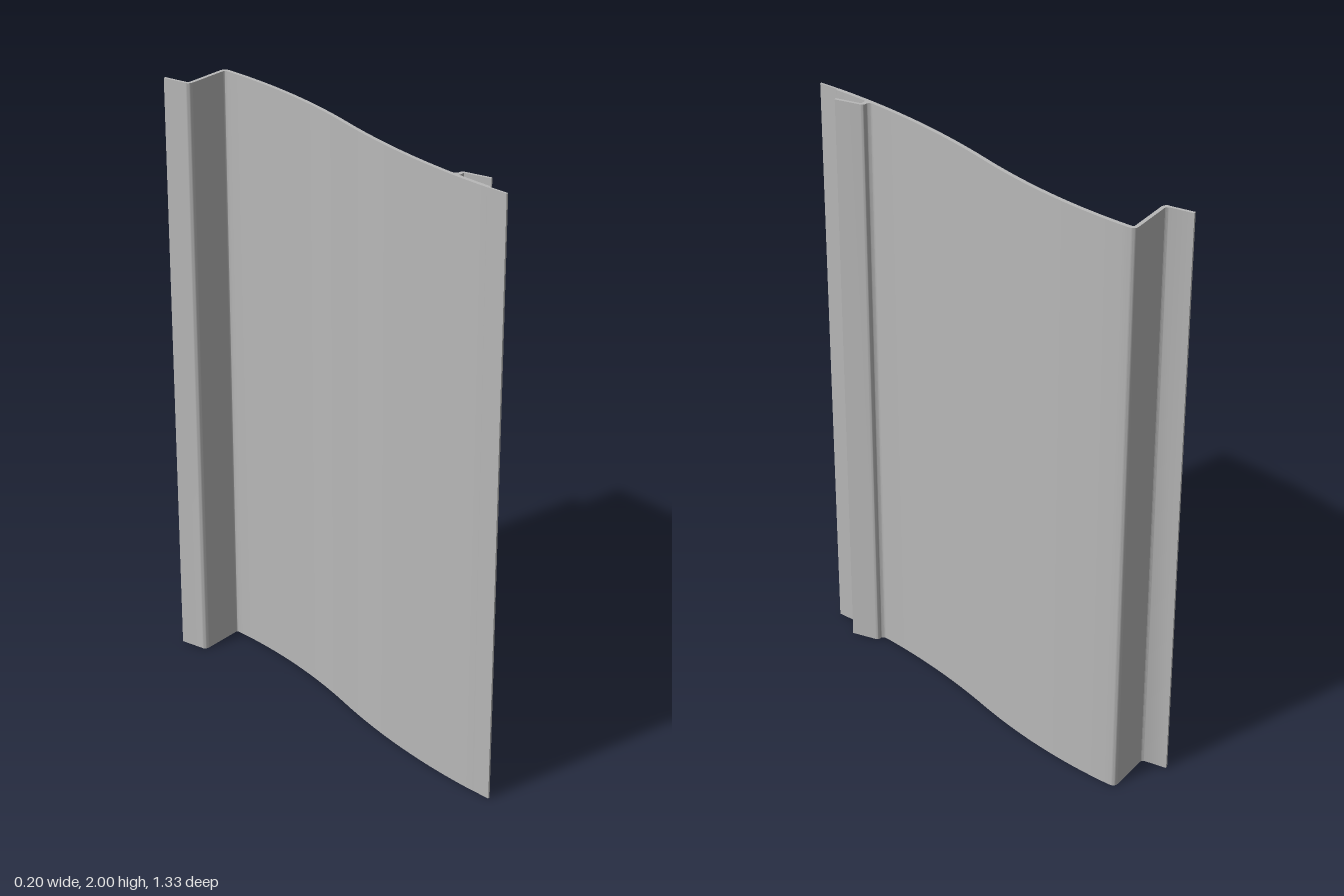
import * as THREE from 'three';
import { toCreasedNormals } from 'three/addons/utils/BufferGeometryUtils.js';

const HEIGHT = 2;

// Plan profiles use (x, -z), so turning the extrusion upright restores z.
function extrudeUp(shape, material, name) {
  const flat = new THREE.ExtrudeGeometry(shape, { depth: HEIGHT, bevelEnabled: false, curveSegments: 6 });
  flat.rotateX(-Math.PI / 2);
  const mesh = new THREE.Mesh(toCreasedNormals(flat, 0.6), material);
  mesh.name = name;
  return mesh;
}

// Closed outline around a centre line; points are [x, z, left offset, right offset].
function ribbon(points) {
  const left = [], right = [];
  points.forEach(([x, z, l, r], i) => {
    const a = points[Math.max(i - 1, 0)], b = points[Math.min(i + 1, points.length - 1)];
    const n = new THREE.Vector2(b[1] - a[1], b[0] - a[0]).normalize();
    left.push(new THREE.Vector2(x + n.x * l, -z + n.y * l));
    right.push(new THREE.Vector2(x - n.x * r, -z - n.y * r));
  });
  return new THREE.Shape([...right, ...left.reverse()]);
}

// S-curve of the panel: two parabolas meeting at z = 0.
function panelX(z) {
  return z < 0
    ? 0.093 - 0.09 * ((z + 0.57) / 0.57) ** 2
    : -0.097 + 0.1 * ((0.665 - z) / 0.665) ** 2;
}

export function createModel() {
  const group = new THREE.Group();
  group.name = 'curvedPanelProfile';
  const metal = new THREE.MeshStandardMaterial({ color: 0xb8b8b8 });
  metal.name = 'grey';

  // Rear flange and return web with rounded bends
  const bend = new THREE.Path();
  bend.moveTo(-0.076, -0.665);
  bend.lineTo(-0.064, -0.59);
  bend.quadraticCurveTo(-0.062, -0.577, -0.049, -0.577);
  bend.lineTo(0.079, -0.577);
  bend.quadraticCurveTo(0.093, -0.577, 0.093, -0.563);
  const points = bend.getPoints(6).map((p, i) => {
    const half = i < 2 ? 0.0045 : 0.006;
    return [p.x, p.y, half, half];
  });

  // Main curved panel, then a thinner lip along the front edge
  for (let i = 1; i <= 48; i++) {
    const z = -0.563 + (1.16 * i) / 48;
    points.push([panelX(z), z, 0.0062, 0.0062]);
  }
  for (const z of [0.602, 0.635, 0.665]) points.push([panelX(z), z, 0.001, 0.0055]);
  group.add(extrudeUp(ribbon(points), metal, 'curvedPanel'));

  // Hook behind the front edge, with a fillet where it joins the panel
  const hook = new THREE.Shape();
  hook.moveTo(-0.09, -0.45);
  hook.lineTo(-0.081, -0.455);
  hook.quadraticCurveTo(-0.081, -0.469, -0.072, -0.471);
  hook.quadraticCurveTo(-0.058, -0.471, -0.056, -0.482);
  hook.lineTo(-0.038, -0.564);
  hook.lineTo(-0.046, -0.567);
  hook.lineTo(-0.064, -0.485);
  hook.lineTo(-0.092, -0.484);
  hook.closePath();
  group.add(extrudeUp(hook, metal, 'interlockHook'));

  return group;
}
